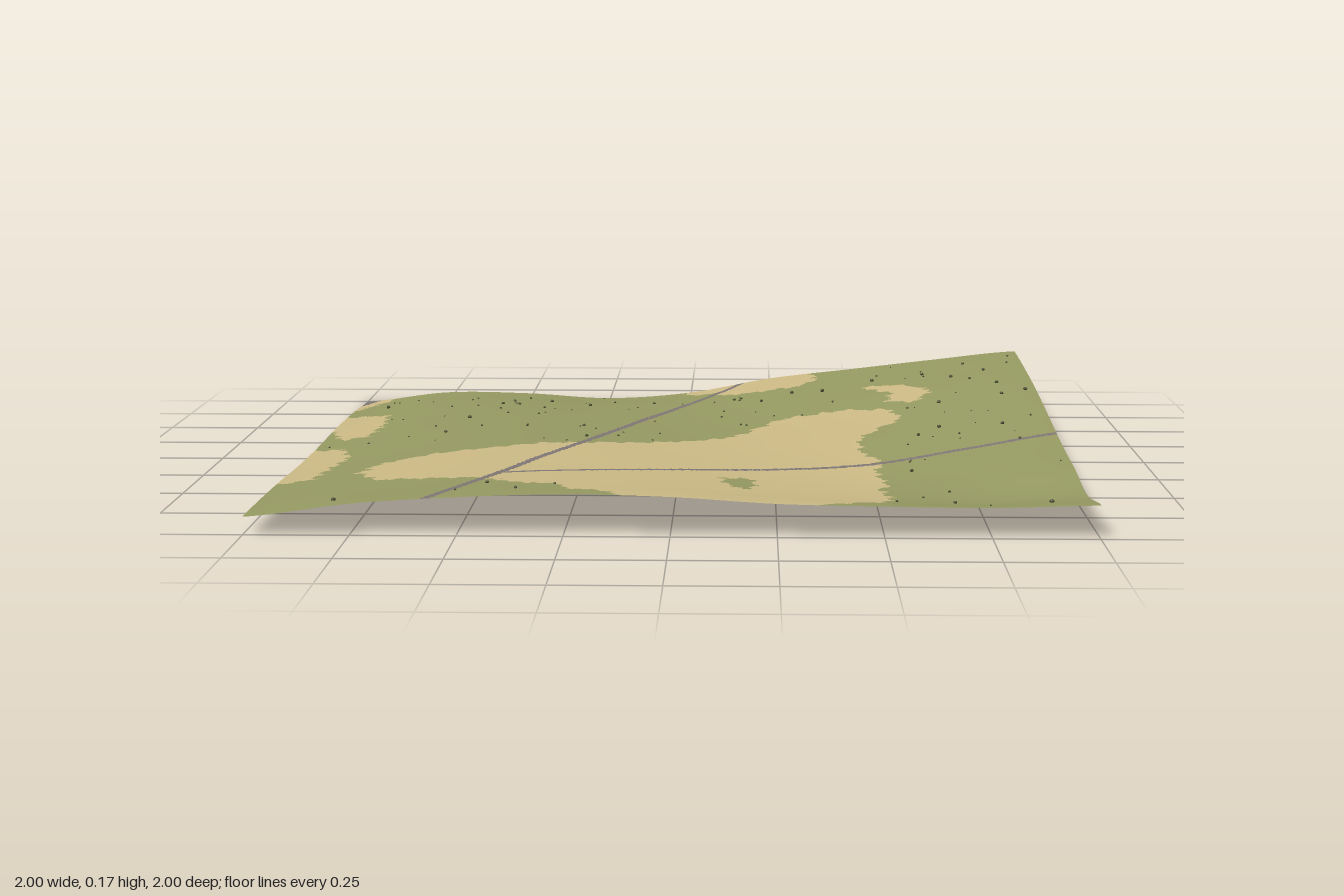
import * as THREE from 'three';
import { mergeGeometries } from 'three/addons/utils/BufferGeometryUtils.js';

const material = (name, color, side = THREE.FrontSide) =>
  Object.assign(new THREE.MeshStandardMaterial({ color, side }), { name });

// Heights on a coarse grid: rows run back to front, columns run along x
const HEIGHTS = [
  [0, .03, .028, .014, .032, .078, .108, .138, .165],
  [.012, .036, .04, .033, .043, .075, .103, .13, .157],
  [.018, .038, .047, .044, .048, .068, .093, .12, .145],
  [.02, .04, .05, .05, .05, .06, .078, .105, .128],
  [.02, .04, .053, .056, .053, .054, .065, .086, .107],
  [.025, .043, .058, .062, .055, .046, .046, .067, .087],
  [.034, .05, .066, .067, .058, .043, .034, .046, .074],
  [.04, .06, .078, .083, .073, .056, .042, .037, .055],
  [.043, .075, .092, .1, .095, .08, .075, .073, .08],
];

// Sandy ground outlines as x, z pairs
const SAND = [
  [[-.15, 1.1], [-.13, .95], [-.25, .88], [-.27, .8], [-.4, .74], [-.47, .66], [-.6, .62], [-.75, .58],
    [-.81, .45], [-.78, .32], [-.68, .2], [-.5, .12], [-.38, .05], [-.12, .04], [.02, 0], [.15, -.08],
    [.2, -.18], [.28, -.32], [.45, -.37], [.57, -.33], [.61, -.2], [.52, -.07], [.48, .02], [.48, .15],
    [.53, .25], [.51, .38], [.53, .5], [.51, .6], [.53, .72], [.5, .86], [.4, .95], [.3, 1.04]],
  [[-.02, -1.1], [0, -.92], [.08, -.88], [.1, -.8], [.2, -.77], [.34, -.79], [.39, -.88], [.36, -1.1]],
  [[.52, -.66], [.6, -.66], [.66, -.6], [.71, -.53], [.68, -.43], [.63, -.38], [.58, -.44], [.6, -.53],
    [.55, -.59]],
  [[-1.1, -.6], [-.88, -.58], [-.86, -.4], [-.88, -.2], [-.95, -.16], [-.99, -.3], [-1.1, -.4]],
  [[-1.1, -.02], [-.92, 0], [-.88, .15], [-.9, .3], [-.92, .5], [-1, .58], [-1.1, .6]],
  [[-1.1, -1.1], [-.87, -1.1], [-.95, -.87], [-1, -.7], [-1.1, -.6]],
];
const GRASS_ISLAND = [[.12, .52], [.19, .52], [.2, .64], [.17, .71], [.12, .62]];

// Road centre lines
const ROADS = [
  [[.17, -1.02], [.08, -.85], [-.02, -.63], [-.12, -.38], [-.25, 0], [-.37, .33], [-.45, .6], [-.58, 1.02]],
  [[-.44, .565], [-.1, .47], [.25, .365], [.55, .27], [.8, .185], [1.02, .1]],
  [[-.98, -1.02], [-1.02, -.88]],
];
const HALF_WIDTHS = [.011, .01, .025];

// Bushes that can be placed individually, x, z pairs
const BUSHES = [
  [-.48, -.85], [-.52, -.76], [-.41, -.78], [-.29, -.71], [-.9, -.74], [-.55, -.7], [-.5, -.69], [-.42, -.62],
  [-.1, -.74], [.14, -.67], [.16, -.68], [.31, -.68], [.4, -.66], [.22, -.6], [.55, -.74], [.7, -.76],
  [.78, -.68], [.88, -.73], [.83, -.62], [.9, -.52], [.9, -.37], [.72, -.34], [.97, -.4], [.63, -.31],
  [-.44, -.25], [-.28, -.26], [-.66, -.17], [-.26, -.06], [.64, .02], [.7, -.05], [.87, -.03], [.9, .14],
  [.6, .38], [-.45, .76], [-.37, .88], [.68, .77], [.9, .87], [-.8, .91], [.83, -.86], [-.62, -.42],
];

function catmull(a, b, c, d, t) {
  return b + .5 * t * (c - a + t * (2 * a - 5 * b + 4 * c - d + t * (3 * (b - c) + d - a)));
}

function heightAt(x, z) {
  const u = (x + 1) * 4, v = (z + 1) * 4;
  const i = Math.max(0, Math.min(7, Math.floor(u))), j = Math.max(0, Math.min(7, Math.floor(v)));
  const at = k => Math.max(0, Math.min(8, k));
  const row = r => {
    const h = HEIGHTS[at(r)];
    return catmull(h[at(i - 1)], h[i], h[i + 1], h[at(i + 2)], u - i);
  };
  return Math.max(0, catmull(row(j - 1), row(j), row(j + 1), row(j + 2), v - j));
}

function inside(poly, x, z) {
  let hit = false;
  poly.forEach(([ax, az], i) => {
    const [bx, bz] = poly[(i + 1) % poly.length];
    if ((az > z) !== (bz > z) && x < ax + (bx - ax) * (z - az) / (bz - az)) hit = !hit;
  });
  return hit;
}

function onRoad(line, width, x, z) {
  for (let i = 0; i + 1 < line.length; i++) {
    const [ax, az] = line[i], dx = line[i + 1][0] - ax, dz = line[i + 1][1] - az;
    const t = Math.max(0, Math.min(1, ((x - ax) * dx + (z - az) * dz) / (dx * dx + dz * dz)));
    if (Math.hypot(x - ax - dx * t, z - az - dz * t) < width) return true;
  }
  return false;
}

// Ground cover at a point: 0 grass, 1 sand, 2 road
function coverAt(x, z) {
  if (ROADS.some((line, i) => onRoad(line, HALF_WIDTHS[i], x, z))) return 2;
  const wx = x + .008 * Math.sin(83 * z + 20 * x) + .006 * Math.sin(171 * z);
  const wz = z + .008 * Math.sin(79 * x - 23 * z) + .006 * Math.sin(163 * x);
  return SAND.some(p => inside(p, wx, wz)) && !inside(GRASS_ISLAND, wx, wz) ? 1 : 0;
}

function seeded(seed) {
  return () => (seed = (seed * 16807) % 2147483647) / 2147483647;
}

export function createModel() {
  const group = new THREE.Group();
  group.name = 'terrain';

  // One shared surface, its triangles sorted by ground cover
  const surface = new THREE.PlaneGeometry(2, 2, 250, 250).rotateX(-Math.PI / 2);
  const pos = surface.attributes.position;
  for (let i = 0; i < pos.count; i++) pos.setY(i, heightAt(pos.getX(i), pos.getZ(i)));
  surface.computeVertexNormals();
  const faces = [[], [], []], index = surface.index.array;
  for (let i = 0; i < index.length; i += 3) {
    const tri = [index[i], index[i + 1], index[i + 2]];
    const mean = axis => tri.reduce((sum, k) => sum + pos.array[k * 3 + axis], 0) / 3;
    faces[coverAt(mean(0), mean(2))].push(...tri);
  }
  const covers = [
    ['grassland', material('grass green', 0x969a62, THREE.DoubleSide)],
    ['sandyGround', material('sand', 0xcdbb86, THREE.DoubleSide)],
    ['roads', material('road grey', 0x7f7775, THREE.DoubleSide)],
  ];
  covers.forEach(([name, mat], i) => {
    const geo = new THREE.BufferGeometry();
    geo.setAttribute('position', pos);
    geo.setAttribute('normal', surface.attributes.normal);
    geo.setIndex(faces[i]);
    const mesh = new THREE.Mesh(geo, mat);
    mesh.name = name;
    group.add(mesh);
  });

  // Tiny bushes, with smaller ones scattered over the grass
  const rand = seeded(71), spots = BUSHES.map(([x, z]) => [x, z, .004 + .003 * rand()]);
  while (spots.length < 120) {
    const x = rand() * 1.96 - .98, z = rand() * 1.96 - .98;
    if (coverAt(x, z) === 0 && rand() < .65 - .35 * z) spots.push([x, z, .002 + .002 * rand()]);
  }
  const bushes = new THREE.Mesh(mergeGeometries(spots.map(([x, z, r]) =>
    new THREE.IcosahedronGeometry(r, 0).scale(1, .8, 1).rotateY(rand() * 6)
      .translate(x, heightAt(x, z) + r * .5, z))), material('bush green', 0x4a5232));
  bushes.name = 'bushes';
  group.add(bushes);
  return group;
}
